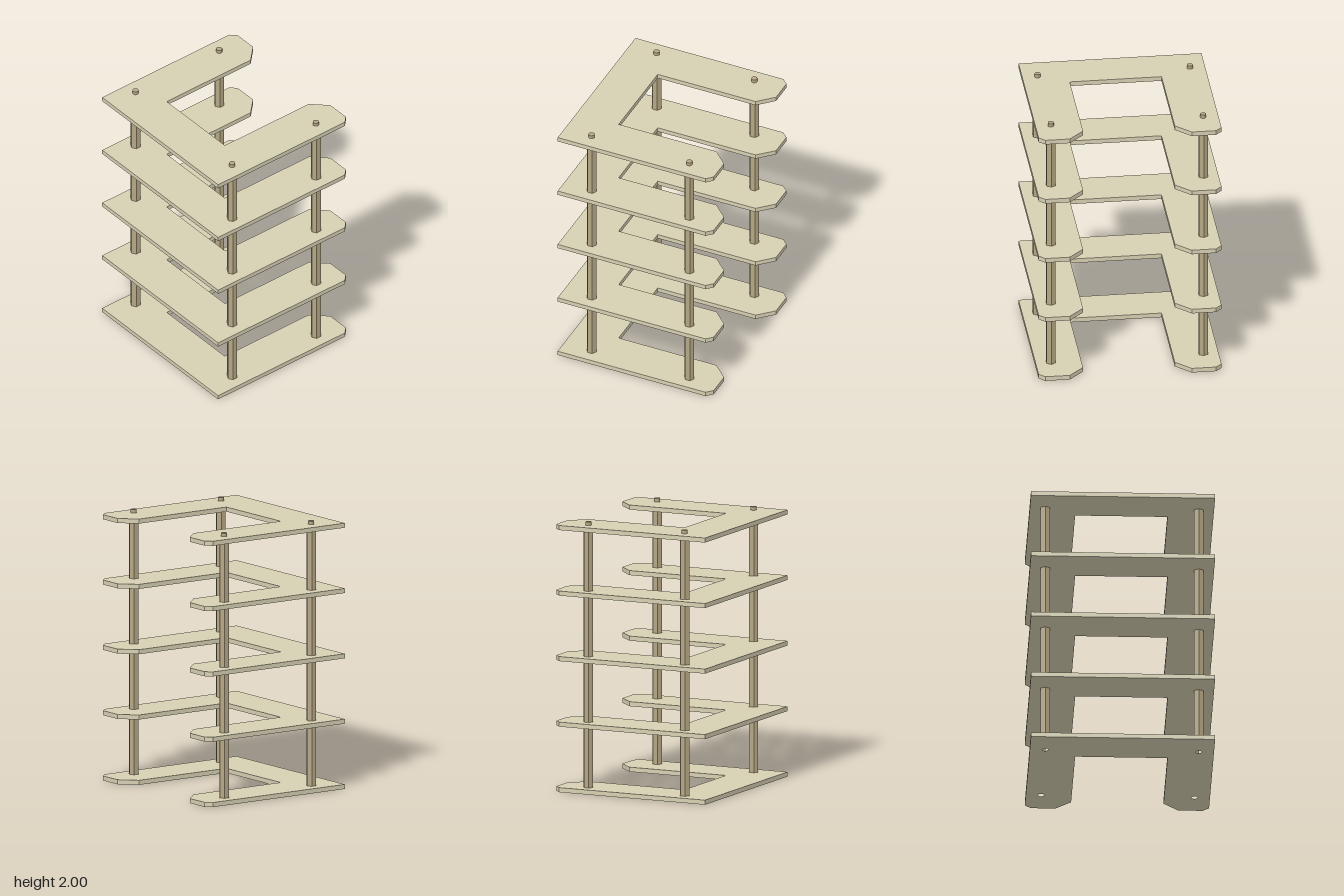
import * as THREE from 'three';

const LEVELS = 5, PITCH = 0.485, THICK = 0.034;
const POST_X = 0.56, POST_Z = 0.393, PIN_R = 0.022;

// U-shaped board with clipped rear corners and four pin holes
function boardGeometry() {
  const half = [[0.672, 0.615], [0.672, -0.575], [0.627, -0.62], [0.448, -0.62], [0.337, -0.507], [0.337, 0.28]];
  const mirrored = half.map(([x, z]) => [-x, z]).reverse();
  const shape = new THREE.Shape([...half, ...mirrored].map(([x, z]) => new THREE.Vector2(x, z)));
  for (const sx of [-1, 1]) for (const sz of [-1, 1]) {
    const hole = new THREE.Path();
    hole.absarc(sx * POST_X, sz * POST_Z, PIN_R, 0, Math.PI * 2, true);
    shape.holes.push(hole);
  }
  const geo = new THREE.ExtrudeGeometry(shape, { depth: THICK, bevelEnabled: false, curveSegments: 10 });
  return geo.rotateX(Math.PI / 2).translate(0, THICK, 0);
}

export function createModel() {
  const model = new THREE.Group();
  const boardMat = new THREE.MeshStandardMaterial({ color: 0xd6cfb2 });
  const postMat = new THREE.MeshStandardMaterial({ color: 0xb5a785, flatShading: true });
  const pinMat = new THREE.MeshStandardMaterial({ color: 0xb5a785 });

  const boardGeo = boardGeometry();
  const postH = PITCH - THICK, pinH = 2 - PITCH * (LEVELS - 1);
  const postGeo = new THREE.CylinderGeometry(0.038, 0.038, postH, 6);
  const pinGeo = new THREE.CylinderGeometry(PIN_R, PIN_R, 1, 20);

  for (let i = 0; i < LEVELS; i++) {
    const board = new THREE.Mesh(boardGeo, boardMat);
    board.name = 'shelf' + (i + 1);
    board.position.y = i * PITCH;
    model.add(board);
    if (i === LEVELS - 1) break;

    // Hexagonal spacers, each with a pin through the shelf above
    for (const sx of [-1, 1]) for (const sz of [-1, 1]) {
      const spacer = new THREE.Group();
      spacer.name = (sz > 0 ? 'front' : 'rear') + (sx > 0 ? 'Left' : 'Right') + 'Spacer' + (i + 1);
      spacer.position.set(sx * POST_X, i * PITCH + THICK, sz * POST_Z);
      const post = new THREE.Mesh(postGeo, postMat);
      post.name = 'post';
      post.position.y = postH / 2;
      const pin = new THREE.Mesh(pinGeo, pinMat);
      pin.name = 'pin';
      const h = i === LEVELS - 2 ? pinH : THICK;
      pin.scale.y = h;
      pin.position.y = postH + h / 2;
      spacer.add(post, pin);
      model.add(spacer);
    }
  }
  return model;
}
